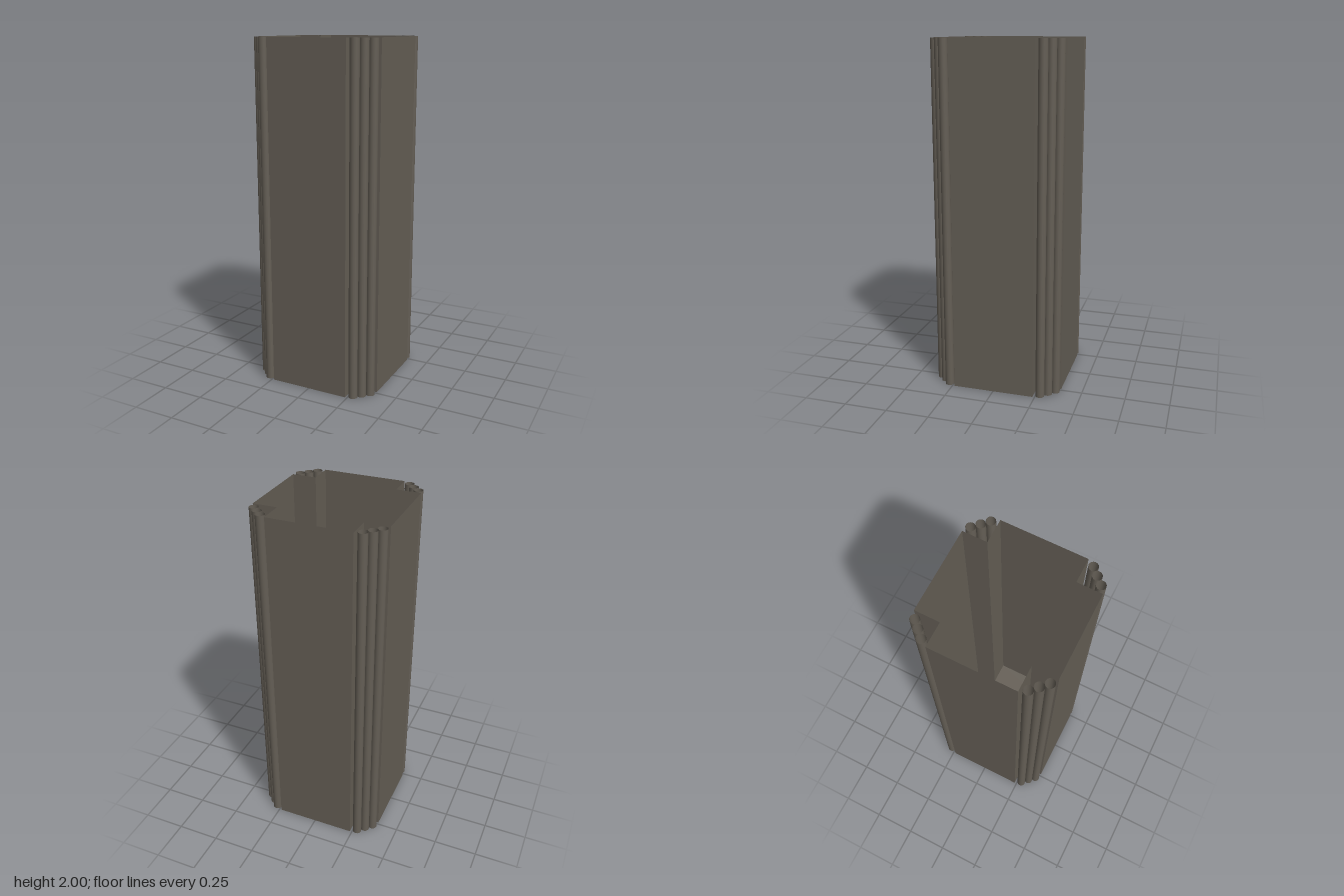
import * as THREE from 'three';

const HEIGHT = 2;
const OUTER = 0.375;   // half width of the shaft
const INNER = 0.237;   // half width of each flat face
const TUBE_R = 0.026;

export function createModel() {
  const model = new THREE.Group();
  const stone = new THREE.MeshStandardMaterial({ color: 0x645e55, side: THREE.DoubleSide });
  stone.name = 'stone';

  const add = (geometry, name, x = 0, y = 0, z = 0, parent = model) => {
    const mesh = new THREE.Mesh(geometry, stone);
    mesh.name = name;
    mesh.position.set(x, y, z);
    parent.add(mesh);
    return mesh;
  };

  // Cross-shaped floor, leaving the shaft open at the top
  const o = OUTER, i = INNER;
  const outline = [
    [i, o], [i, i], [o, i], [o, -i], [i, -i], [i, -o],
    [-i, -o], [-i, -i], [-o, -i], [-o, i], [-i, i], [-i, o],
  ].map(([x, y]) => new THREE.Vector2(x, y));
  add(new THREE.ShapeGeometry(new THREE.Shape(outline)), 'floor').rotation.x = -Math.PI / 2;

  // Four identical sides, each with a face, a notched corner and its tubes
  const face = new THREE.PlaneGeometry(2 * i, HEIGHT);
  const notch = new THREE.PlaneGeometry(o - i, HEIGHT);
  const tube = new THREE.CylinderGeometry(TUBE_R, TUBE_R, HEIGHT, 16, 1, true);
  const middle = (o + i) / 2;
  const tubeCentre = 0.312, tubeStep = 0.037;

  for (let k = 0; k < 4; k++) {
    const side = new THREE.Group();
    side.name = `side${k + 1}`;
    side.rotation.y = k * Math.PI / 2;
    model.add(side);

    add(face, 'outerWall', 0, HEIGHT / 2, o, side);
    add(notch, 'notchWallA', i, HEIGHT / 2, middle, side).rotation.y = Math.PI / 2;
    add(notch, 'notchWallB', middle, HEIGHT / 2, i, side);

    // Diagonal row of three open tubes in the corner
    for (let t = -1; t <= 1; t++) {
      add(tube, 'cornerTube', tubeCentre + t * tubeStep, HEIGHT / 2, tubeCentre - t * tubeStep, side);
    }
  }
  return model;
}
